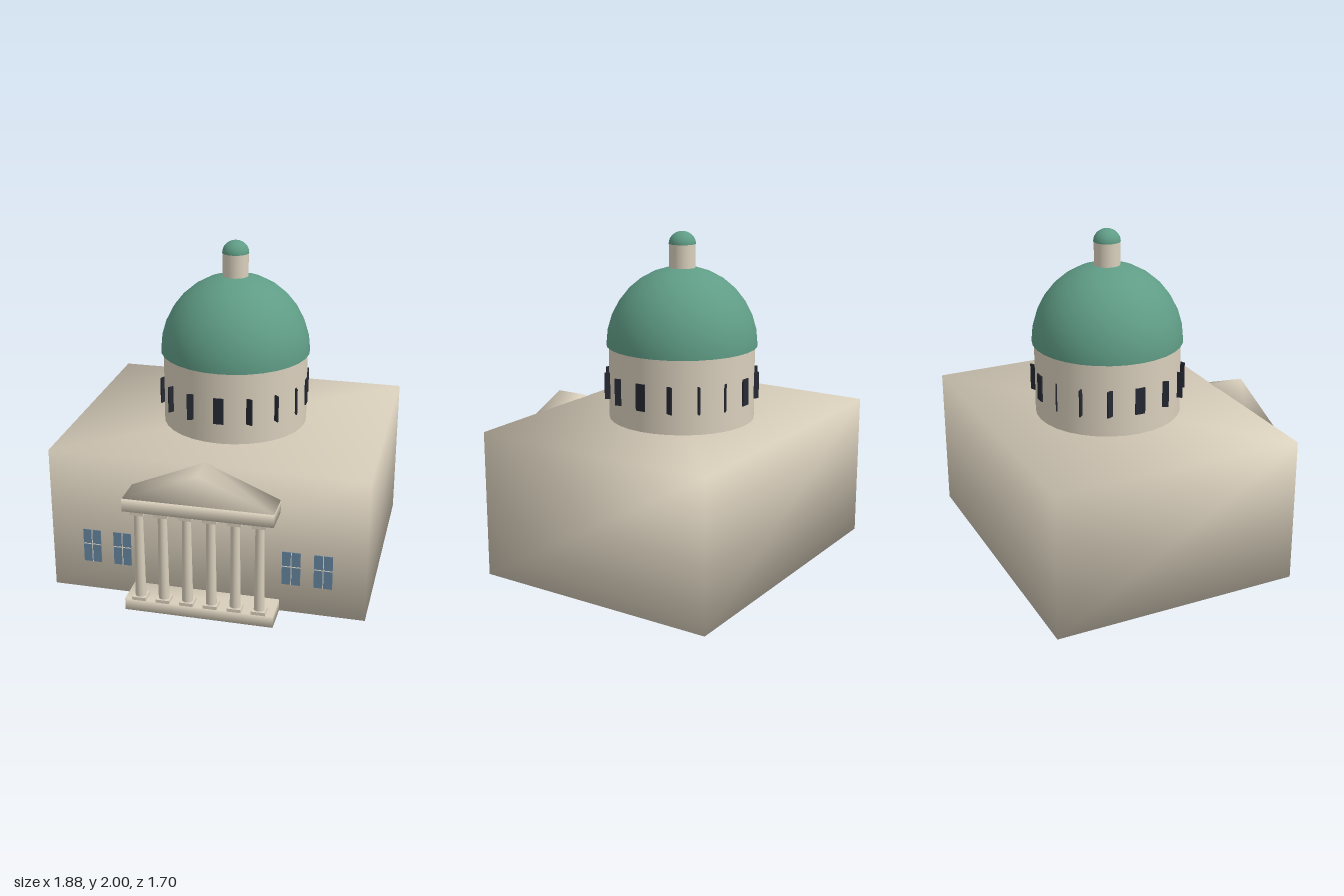
import * as THREE from 'three';
import { mergeVertices } from 'three/addons/utils/BufferGeometryUtils.js';

const mat = (name, color, side = THREE.FrontSide) => {
  const m = new THREE.MeshStandardMaterial({ color, side });
  m.name = name;
  return m;
};

// Shares corner vertices so the shading runs softly over the edges
function soften(geo) {
  geo.deleteAttribute('normal');
  geo.deleteAttribute('uv');
  const merged = mergeVertices(geo);
  merged.computeVertexNormals();
  return merged;
}

export function createModel() {
  const group = new THREE.Group();
  const stone = mat('stone', 0xd9cfbc);
  const copper = mat('green copper', 0x5f9c86, THREE.DoubleSide);
  const dark = mat('dark opening', 0x262933);
  const glass = mat('blue glass', 0x66859f);
  const trim = mat('pale trim', 0xe0dccf);
  const under = mat('dark underside', 0x56524a);

  const add = (name, geo, material, x = 0, y = 0, z = 0, parent = group) => {
    const m = new THREE.Mesh(geo, material);
    m.name = name;
    m.position.set(x, y, z);
    parent.add(m);
    return m;
  };
  // Soft-shaded box given by its extents, symmetrical in x
  const block = (name, material, halfWidth, y0, y1, z0, z1, parent) =>
    add(name, soften(new THREE.BoxGeometry(halfWidth * 2, y1 - y0, z1 - z0)), material,
      0, (y0 + y1) / 2, (z0 + z1) / 2, parent);
  // Flat dark face under a block, looking down
  const underside = (name, halfWidth, z0, z1, parent) => {
    const m = add(name, new THREE.PlaneGeometry(halfWidth * 2, z1 - z0), under, 0, 0, (z0 + z1) / 2, parent);
    m.rotation.x = Math.PI / 2;
  };

  // Main hall
  block('mainHall', stone, 0.94, 0.003, 0.885, -0.85, 0.655, group);
  underside('hallUnderside', 0.94, -0.85, 0.655, group);

  // Drum, dome and lantern
  const rotunda = new THREE.Group();
  rotunda.name = 'rotunda';
  rotunda.position.z = -0.1;
  group.add(rotunda);
  add('drum', new THREE.CylinderGeometry(0.438, 0.438, 0.445, 32), stone, 0, 1.1025, 0, rotunda);
  const half = (r, rows) => new THREE.SphereGeometry(r, 32, rows, 0, Math.PI * 2, 0, Math.PI / 2);
  add('dome', half(0.452, 8), copper, 0, 1.325, 0, rotunda).scale.y = 0.47 / 0.452;
  add('lantern', new THREE.CylinderGeometry(0.077, 0.077, 0.16, 24), stone, 0, 1.85, 0, rotunda);
  add('lanternCap', half(0.08, 8), copper, 0, 1.926, 0, rotunda).scale.y = 0.074 / 0.08;

  // Sixteen drum openings, each turned against its angle round the drum
  const opening = new THREE.BoxGeometry(0.06, 0.16, 0.009);
  for (let i = 0; i < 16; i++) {
    const a = (i / 16) * Math.PI * 2;
    const w = add('drumWindow', opening, dark, Math.sin(a) * 0.44, 1.09, Math.cos(a) * 0.44, rotunda);
    w.rotation.y = -a;
  }

  // Portico
  const portico = new THREE.Group();
  portico.name = 'portico';
  group.add(portico);
  block('porticoBase', stone, 0.438, 0.003, 0.076, 0.65, 0.848, portico);
  underside('porticoUnderside', 0.438, 0.655, 0.848, portico);
  block('entablature', stone, 0.438, 0.645, 0.72, 0.65, 0.853, portico);
  const gable = new THREE.Shape([
    new THREE.Vector2(-0.438, 0.72), new THREE.Vector2(0.438, 0.72), new THREE.Vector2(0, 0.905),
  ]);
  add('pediment', soften(new THREE.ExtrudeGeometry(gable, { depth: 0.193, bevelEnabled: false })),
    stone, 0, 0, 0.65, portico);

  // Six tapering columns with square plinths and capitals
  const shaft = new THREE.CylinderGeometry(0.026, 0.032, 0.535, 16);
  const slab = new THREE.BoxGeometry(0.082, 0.02, 0.082);
  for (let i = 0; i < 6; i++) {
    const x = (i - 2.5) * 0.141;
    add('column', shaft, stone, x, 0.36, 0.811, portico);
    add('plinth', slab, stone, x, 0.085, 0.811, portico);
    add('capital', slab, stone, x, 0.636, 0.811, portico);
  }

  // Four front windows: thin panes just off the wall, with glazing bars
  for (const x of [-0.692, -0.506, 0.506, 0.692]) {
    const win = new THREE.Group();
    win.name = 'frontWindow';
    win.position.set(x, 0.294, 0.665);
    group.add(win);
    add('pane', new THREE.BoxGeometry(0.108, 0.21, 0.004), glass, 0, 0, 0, win);
    add('uprightBar', new THREE.BoxGeometry(0.005, 0.21, 0.003), trim, 0, 0, 0.003, win);
    add('crossBar', new THREE.BoxGeometry(0.108, 0.005, 0.003), trim, 0, 0.012, 0.003, win);
  }
  return group;
}
